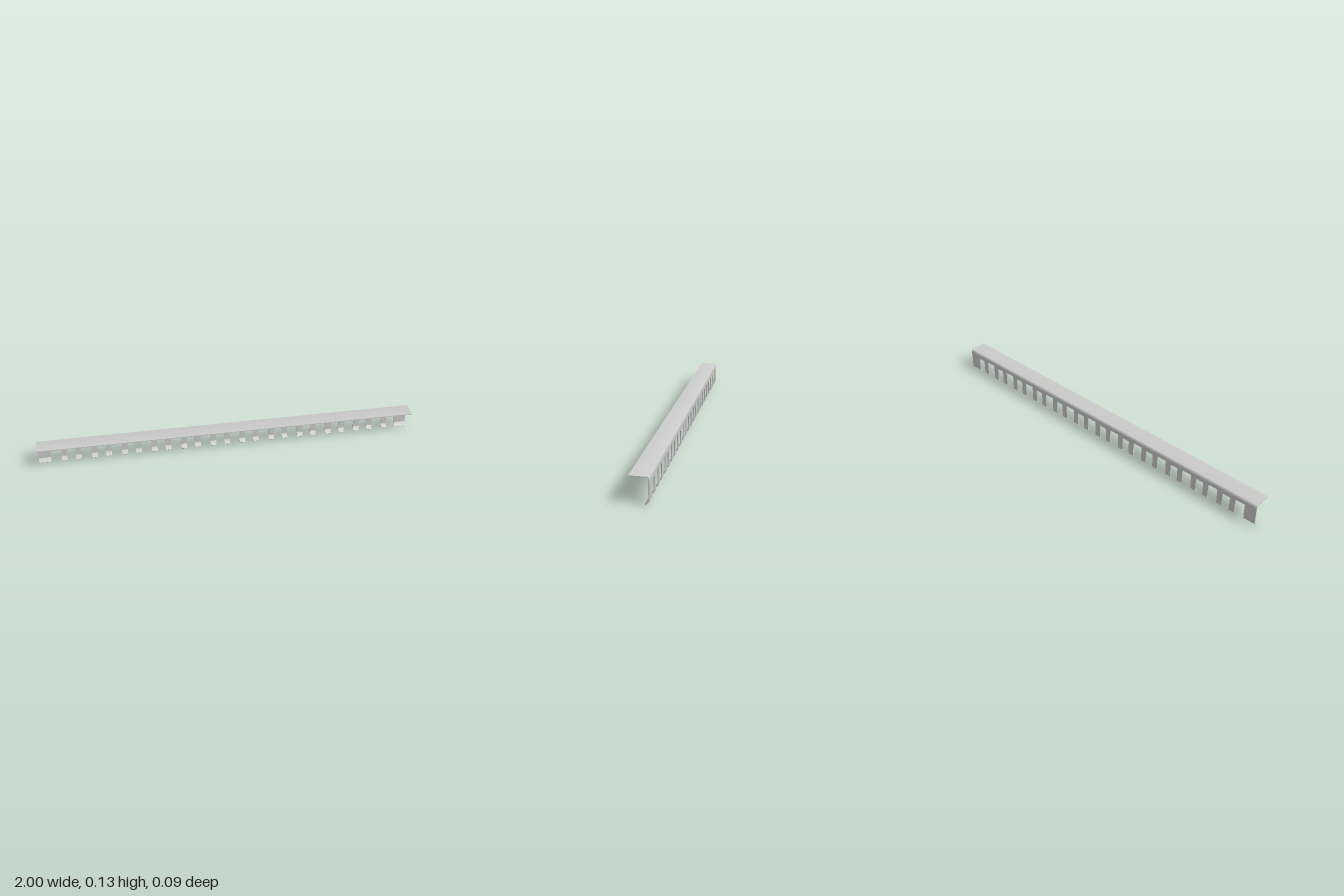
import * as THREE from 'three';
import { mergeGeometries, toCreasedNormals } from 'three/addons/utils/BufferGeometryUtils.js';

const T = 0.005;                                   // sheet thickness
const H = 0.132, BACK = -0.046, FRONT = 0.046;     // overall section
const TOP_R = 0.011, TOP_Y = H - TOP_R;            // upper bend
const LOW_R = 0.012, LOW_Y = 0.0235, LIP = 0.021;  // lower bend and lip
const END_W = 0.064, TOOTH_W = 0.0308;
const WIDE = { w: 0.054, top: 0.102 }, NARROW = { w: 0.043, top: 0.096 };
const SLOTS = 24;

const extrude = (shape, depth) =>
  new THREE.ExtrudeGeometry(shape, { depth, bevelEnabled: false, curveSegments: 6 });

// Extrude a (z, y) section along x, centred on x = 0
const alongX = (shape, width) =>
  extrude(shape, width).rotateY(-Math.PI / 2).translate(width / 2, 0, 0);

// Top flange with the rounded bend into the back wall
function flangeGeometry() {
  const s = new THREE.Shape();
  const cz = BACK + TOP_R;
  s.moveTo(FRONT, H - T);
  s.lineTo(FRONT, H);
  s.lineTo(cz, H);
  s.absarc(cz, TOP_Y, TOP_R, Math.PI / 2, Math.PI, false);
  s.lineTo(BACK + T, TOP_Y);
  s.absarc(cz, TOP_Y, TOP_R - T, Math.PI, Math.PI / 2, true);
  s.closePath();
  return alongX(s, 2);
}

// Tooth end: 45 degree bend plus a flat lip with rounded corners
function hookGeometry(width) {
  const cz = BACK + LOW_R;
  const bend = new THREE.Shape();
  bend.moveTo(BACK, LOW_Y);
  bend.absarc(cz, LOW_Y, LOW_R, Math.PI, Math.PI * 1.25, false);
  bend.absarc(cz, LOW_Y, LOW_R - T, Math.PI * 1.25, Math.PI, true);
  bend.closePath();

  const h = width / 2, r = 0.006;
  const lip = new THREE.Shape();
  lip.moveTo(h, 0);
  lip.lineTo(-h, 0);
  lip.lineTo(-h, r - LIP);
  lip.absarc(r - h, r - LIP, r, Math.PI, Math.PI * 1.5, false);
  lip.lineTo(h - r, -LIP);
  lip.absarc(h - r, r - LIP, r, -Math.PI / 2, 0, false);
  lip.closePath();

  const k = LOW_R * Math.SQRT1_2;
  return mergeGeometries([
    alongX(bend, width),
    extrude(lip, T).rotateX(-Math.PI / 4).translate(0, LOW_Y - k, cz - k),
  ]);
}

// Flat back wall with slots open at the bottom, and the list of teeth
function combLayout() {
  const s = new THREE.Shape(), teeth = [], r = 0.004;
  let x = -1;
  s.moveTo(-1, TOP_Y);
  s.lineTo(-1, LOW_Y);
  for (let i = 0; i <= SLOTS; i++) {
    const width = i === 0 || i === SLOTS ? END_W : TOOTH_W;
    teeth.push({ x: x + width / 2, width });
    x += width;
    s.lineTo(x, LOW_Y);
    if (i === SLOTS) break;
    const { w, top } = i % 2 ? NARROW : WIDE;
    s.lineTo(x, top - r);
    s.absarc(x + r, top - r, r, Math.PI, Math.PI / 2, true);
    s.lineTo(x + w - r, top);
    s.absarc(x + w - r, top - r, r, Math.PI / 2, 0, true);
    x += w;
    s.lineTo(x, LOW_Y);
  }
  s.lineTo(x, TOP_Y);
  s.closePath();
  return { wall: extrude(s, T).translate(0, 0, BACK), teeth };
}

export function createModel() {
  const group = new THREE.Group();
  group.name = 'slottedRail';
  const material = new THREE.MeshStandardMaterial({ color: 0xcccccc });
  const add = (name, geometry) => {
    const mesh = new THREE.Mesh(toCreasedNormals(geometry, 0.6), material);
    mesh.name = name;
    group.add(mesh);
    return mesh;
  };

  const { wall, teeth } = combLayout();
  add('topFlange', flangeGeometry());
  add('backWall', wall);
  teeth.forEach(({ x, width }, i) => {
    const isEnd = i === 0 || i === SLOTS;
    add(isEnd ? 'endHook' : 'toothHook', hookGeometry(width)).position.x = x;
  });
  return group;
}
